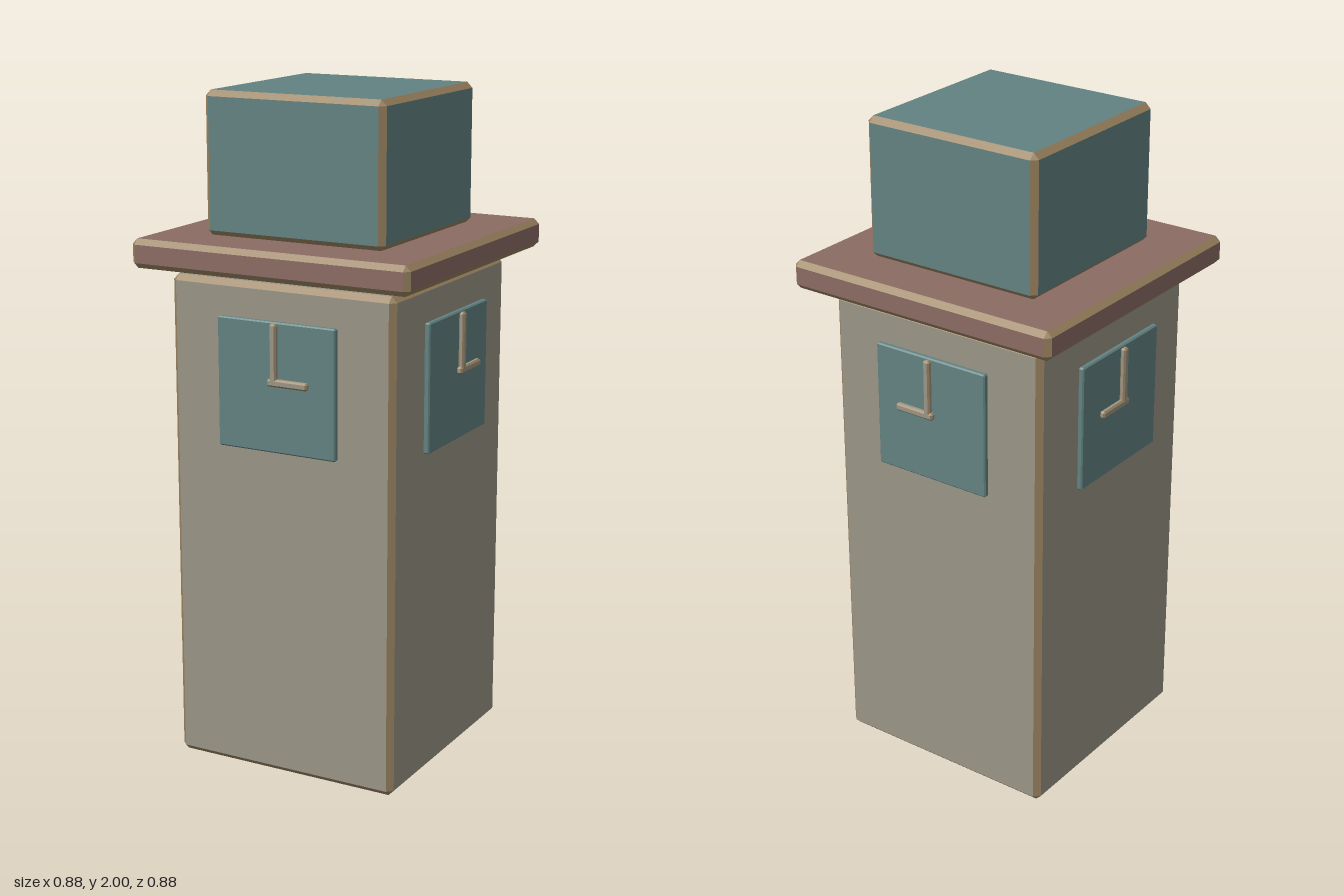
import * as THREE from 'three';

const paint = (name, color) => {
  const m = new THREE.MeshStandardMaterial({ color });
  m.name = name;
  return m;
};

// Box with chamfered edges: group 0 is the six flat faces, group 1 the chamfers.
function chamferBox(w, h, d, b) {
  const half = [w / 2, h / 2, d / 2];
  const box = new THREE.BoxGeometry(w, h, d, 3, 3, 3);
  const pos = box.attributes.position;
  for (let i = 0; i < pos.count; i++) {
    const p = [pos.getX(i), pos.getY(i), pos.getZ(i)];
    const outer = p.map((v, a) => Math.abs(v) > half[a] - 1e-4);
    const n = outer.filter(Boolean).length;
    const inset = [0, 0, b / 2, (2 * b) / 3][n];
    pos.setXYZ(i, ...p.map((v, a) => Math.sign(v) * (half[a] - (outer[a] ? inset : b))));
  }
  box.clearGroups();
  for (let f = 0; f < 6; f++) {
    box.addGroup(f * 54, 24, 1);
    box.addGroup(f * 54 + 24, 6, 0);
    box.addGroup(f * 54 + 30, 24, 1);
  }
  const geo = box.toNonIndexed();
  geo.computeVertexNormals();
  return geo;
}

export function createModel() {
  const stone = paint('stone', 0x9a9586);
  const teal = paint('teal', 0x628281);
  const brick = paint('brick', 0x8b6b63);
  const trim = paint('tan trim', 0x9a8360);

  const model = new THREE.Group();
  model.name = 'clockTower';

  const block = (parent, name, size, center, bevel, face, edge) => {
    const mesh = new THREE.Mesh(chamferBox(...size, bevel), [face, edge]);
    mesh.name = name;
    mesh.position.set(...center);
    parent.add(mesh);
  };

  // Shaft, overhanging cornice and cap
  block(model, 'shaft', [0.72, 1.475, 0.72], [0, 0.7425, 0], 0.017, stone, trim);
  block(model, 'cornice', [0.885, 0.085, 0.885], [0, 1.545, 0], 0.016, brick, trim);
  block(model, 'cap', [0.575, 0.415, 0.575], [0, 1.7925, 0], 0.017, teal, trim);

  // Clock on each side; opposite clocks are mirrored so their hands point the same way
  for (let i = 0; i < 4; i++) {
    const clock = new THREE.Group();
    clock.name = ['front', 'left', 'back', 'right'][i] + 'Clock';
    clock.rotation.y = (i * Math.PI) / 2;
    const dir = i < 2 ? 1 : -1;
    block(clock, 'dial', [0.38, 0.38, 0.018], [0, 1.19, 0.376], 0.004, teal, teal);
    block(clock, 'minuteHand', [0.022, 0.18, 0.018], [0, 1.288, 0.396], 0.005, stone, trim);
    block(clock, 'hourHand', [0.13, 0.022, 0.018], [dir * 0.045, 1.209, 0.396], 0.005, stone, trim);
    model.add(clock);
  }
  return model;
}
